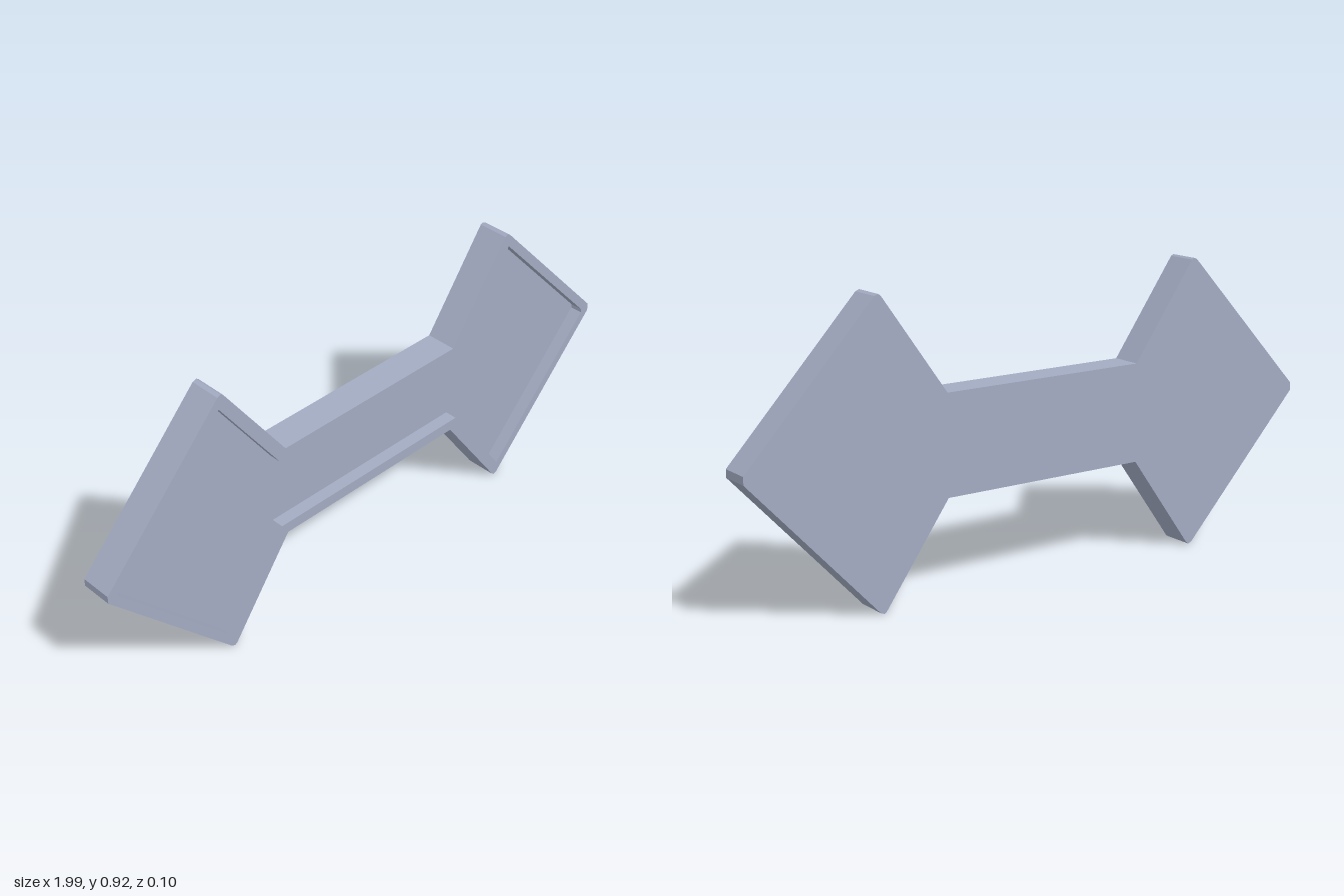
import * as THREE from 'three';

const MID = 0.46;   // height of the symmetry line
const BACK = -0.05, FLOOR = 0.01, FRONT = 0.05;

// Mirror a quarter outline (neck to side tip, as [x, height above middle]) into a full loop
function outline(quarter) {
  const right = [
    ...quarter.map(([x, y]) => [x, -y]),
    ...[...quarter].reverse(),
  ];
  const left = [...right].reverse().map(([x, y]) => [-x, -y]).reverse();
  return [...right, ...left].map(([x, y]) => new THREE.Vector2(x, y + MID));
}

const outer = outline([[0.345, 0.155], [0.56, 0.455], [0.568, 0.46], [0.58, 0.455], [0.995, 0.012]]);
const inner = outline([[0.368, 0.12], [0.578, 0.415], [0.962, 0.006]]);

function slab(name, shape, z0, z1, material) {
  const geometry = new THREE.ExtrudeGeometry(shape, { depth: z1 - z0, bevelEnabled: false });
  geometry.translate(0, 0, z0);
  const mesh = new THREE.Mesh(geometry, material);
  mesh.name = name;
  return mesh;
}

export function createModel() {
  const group = new THREE.Group();
  group.name = 'bowTieTray';
  const blueGrey = new THREE.MeshStandardMaterial({ color: 0xa3abc2 });
  blueGrey.name = 'blueGrey';

  // Solid back plate, whose front face is the tray floor
  group.add(slab('backPlate', new THREE.Shape(outer), BACK, FLOOR, blueGrey));

  // Raised rim around the recess
  const rim = new THREE.Shape(outer);
  rim.holes.push(new THREE.Path(inner));
  group.add(slab('rim', rim, FLOOR, FRONT, blueGrey));

  return group;
}
